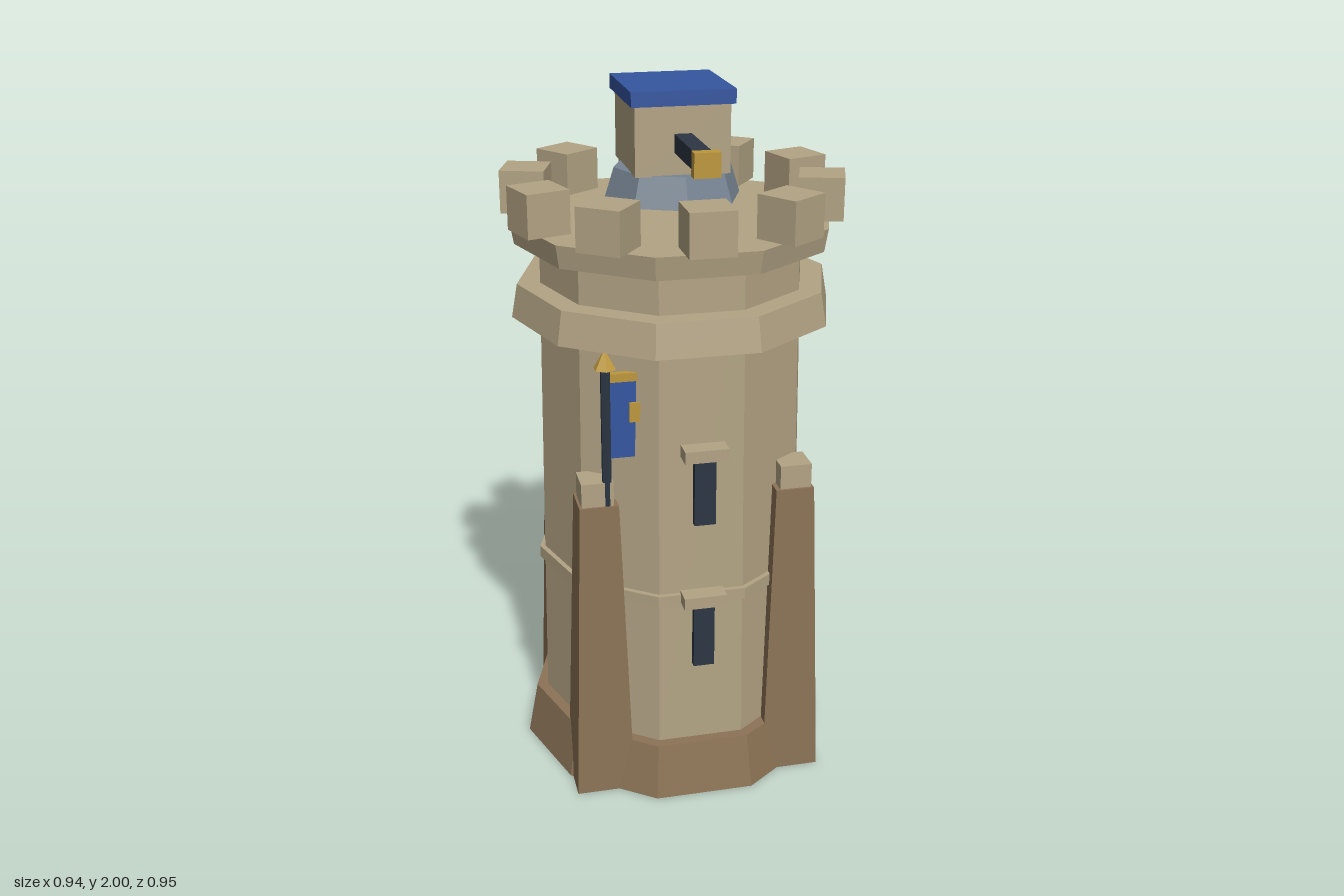
import * as THREE from 'three';

export function createModel() {
  const model = new THREE.Group();
  model.name = 'watchtower';

  const mat = (name, color) => {
    const m = new THREE.MeshStandardMaterial({ color });
    m.name = name;
    m.flatShading = true;
    return m;
  };
  const stone = mat('sandstone', 0xb2a384);
  const brown = mat('brown stone', 0x8b7355);
  const slate = mat('slate', 0x768492);
  const dark = mat('dark iron', 0x2c3643);
  const blue = mat('blue', 0x3556a0);
  const gold = mat('gold', 0xbd973c);

  const add = (name, geometry, material, x = 0, y = 0, z = 0, parent = model) => {
    const mesh = new THREE.Mesh(geometry, material);
    mesh.name = name;
    mesh.position.set(x, y, z);
    parent.add(mesh);
    return mesh;
  };
  const box = (name, material, w, h, d, x, y, z, parent) =>
    add(name, new THREE.BoxGeometry(w, h, d), material, x, y, z, parent);
  // Ten-sided tier with a flat side to the front, from y0 to y1
  const tier = (name, material, r0, r1, y0, y1) =>
    add(name, new THREE.CylinderGeometry(r1, r0, y1 - y0, 10, 1, false, Math.PI / 10),
      material, 0, (y0 + y1) / 2, 0);

  // Tower body
  tier('base', brown, 0.46, 0.43, 0, 0.16);
  tier('shaft', stone, 0.397, 0.376, 0.15, 1.6);
  tier('stringCourse', stone, 0.405, 0.405, 0.605, 0.64);
  tier('lowerCornice', stone, 0.46, 0.443, 1.365, 1.46);
  tier('parapetFloor', stone, 0.446, 0.457, 1.575, 1.64);

  // Ring of merlons
  for (let i = 0; i < 10; i++) {
    const a = (i * Math.PI) / 5;
    const merlon = box('merlon', stone, 0.125, 0.12, 0.125,
      0.412 * Math.sin(a), 1.7, 0.412 * Math.cos(a));
    merlon.rotation.y = a;
  }

  // Tapered corner buttresses with stone caps
  for (const sx of [-1, 1]) {
    for (const sz of [-1, 1]) {
      const buttress = new THREE.Group();
      buttress.name = 'buttress';
      buttress.position.set(0.28 * sx, 0, 0.28 * sz);
      model.add(buttress);
      add('buttressPier', new THREE.CylinderGeometry(0.055 * Math.SQRT2, 0.085 * Math.SQRT2,
        0.91, 4, 1, false, Math.PI / 4), brown, 0, 0.455, 0, buttress);
      box('buttressCap', stone, 0.09, 0.07, 0.09, 0.003 * sx, 0.945, 0.003 * sz, buttress);
    }
  }

  // Arrow slits with lintels
  for (const y of [0.42, 0.865]) {
    box('arrowSlit', dark, 0.06, 0.195, 0.02, 0, y + 0.0975, 0.402);
    box('lintel', stone, 0.122, 0.035, 0.055, 0, y + 0.2125, 0.403);
  }

  // Turret head: slate collar, cabin, roof and barrel
  add('turretCollar', new THREE.CylinderGeometry(0.165, 0.192, 0.085, 8), slate, 0, 1.732, 0);
  box('turretCabin', stone, 0.262, 0.19, 0.28, 0, 1.867, -0.01);
  box('turretRoof', blue, 0.285, 0.04, 0.306, 0, 1.98, -0.012);
  box('barrel', dark, 0.048, 0.05, 0.25, 0, 1.86, 0.25);
  box('barrelTip', gold, 0.07, 0.065, 0.032, 0, 1.86, 0.389);

  // Flag on its pole
  add('flagPole', new THREE.CylinderGeometry(0.014, 0.014, 0.41, 6), dark, -0.255, 1.105, 0.318);
  add('poleFinial', new THREE.ConeGeometry(0.032, 0.055, 6), gold, -0.255, 1.337, 0.318);
  box('flag', blue, 0.085, 0.22, 0.014, -0.203, 1.16, 0.316);
  box('flagBar', gold, 0.085, 0.024, 0.018, -0.203, 1.282, 0.316);
  box('flagEmblem', gold, 0.032, 0.055, 0.008, -0.176, 1.182, 0.327);

  return model;
}
